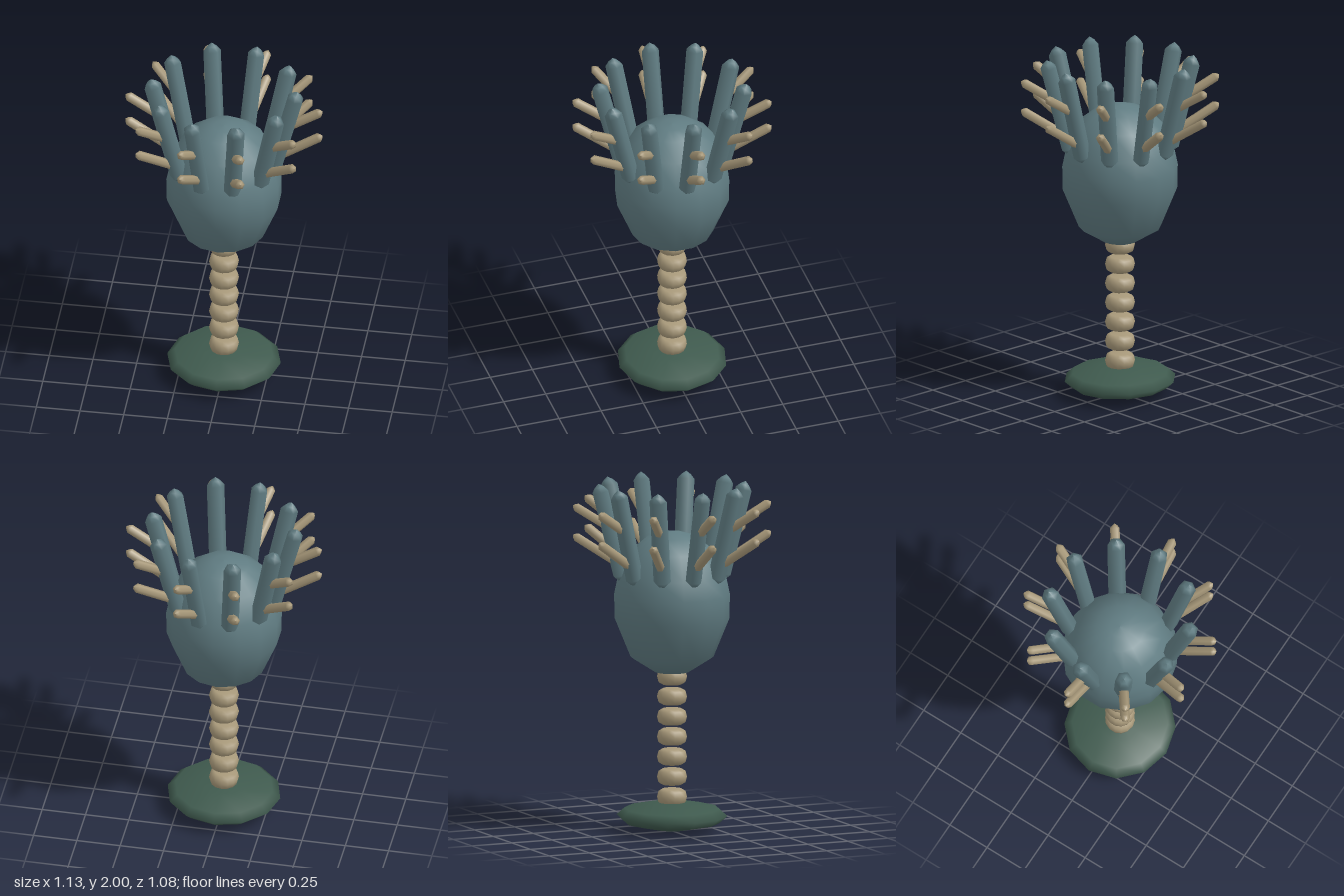
import * as THREE from 'three';

const ARMS = 10;
const RINGS = 7;

const material = (color) => new THREE.MeshStandardMaterial({ color });
const bodyMat = material(0x607c82);
const stemMat = material(0xa8997a);
const baseMat = material(0x3f5a4e);

// Solid of revolution from [radius, height] pairs listed bottom to top
function turned(name, profile, sides, mat) {
  const points = profile.map(([r, y]) => new THREE.Vector2(r, y));
  const mesh = new THREE.Mesh(new THREE.LatheGeometry(points, sides), mat);
  mesh.name = name;
  return mesh;
}

// Six-sided rod with pointed ends, running between two [x, y] points
function rod(name, from, to, radius, mat) {
  const a = new THREE.Vector3(from[0], from[1], 0);
  const b = new THREE.Vector3(to[0], to[1], 0);
  const length = a.distanceTo(b);
  const cap = radius * 0.95;
  const mesh = turned(name, [
    [0, 0], [radius * 0.55, cap * 0.42], [radius, cap],
    [radius, length - cap], [radius * 0.55, length - cap * 0.42], [0, length],
  ], 6, mat);
  mesh.position.copy(a);
  mesh.quaternion.setFromUnitVectors(new THREE.Vector3(0, 1, 0), b.sub(a).normalize());
  return mesh;
}

export function createModel() {
  const model = new THREE.Group();
  model.name = 'seaLily';

  // Flattened foot
  const foot = turned('foot', [
    [0, 0], [0.1, 0.012], [0.28, 0.05], [0.325, 0.09],
    [0.28, 0.13], [0.12, 0.162], [0, 0.172],
  ], 12, baseMat);
  foot.scale.z = 0.96;
  model.add(foot);

  // Stem of separate rounded rings
  const stem = new THREE.Group();
  stem.name = 'stem';
  for (let i = 0; i < RINGS; i++) {
    const ring = turned('stemRing', [
      [0, -0.045], [0.055, -0.045], [0.077, -0.032], [0.085, 0],
      [0.077, 0.032], [0.055, 0.045], [0, 0.045],
    ], 14, stemMat);
    ring.position.y = 0.197 + i * 0.115;
    stem.add(ring);
  }
  model.add(stem);

  // Cup-shaped body
  model.add(turned('body', [
    [0, 0.9], [0.1, 0.915], [0.235, 1.0], [0.325, 1.22], [0.328, 1.36],
    [0.305, 1.47], [0.24, 1.61], [0.14, 1.69], [0.06, 1.715], [0, 1.72],
  ], 14, bodyMat));

  // Crown of arms, each carrying two side branches
  for (let i = 0; i < ARMS; i++) {
    const arm = new THREE.Group();
    arm.name = 'arm';
    arm.add(rod('armShaft', [0.278, 1.43], [0.42, 2.0], 0.05, bodyMat));
    arm.add(rod('lowerBranch', [0.32, 1.55], [0.565, 1.71], 0.027, stemMat));
    arm.add(rod('upperBranch', [0.32, 1.725], [0.565, 1.88], 0.027, stemMat));
    arm.rotation.y = (i * Math.PI * 2) / ARMS;
    model.add(arm);
  }

  return model;
}
